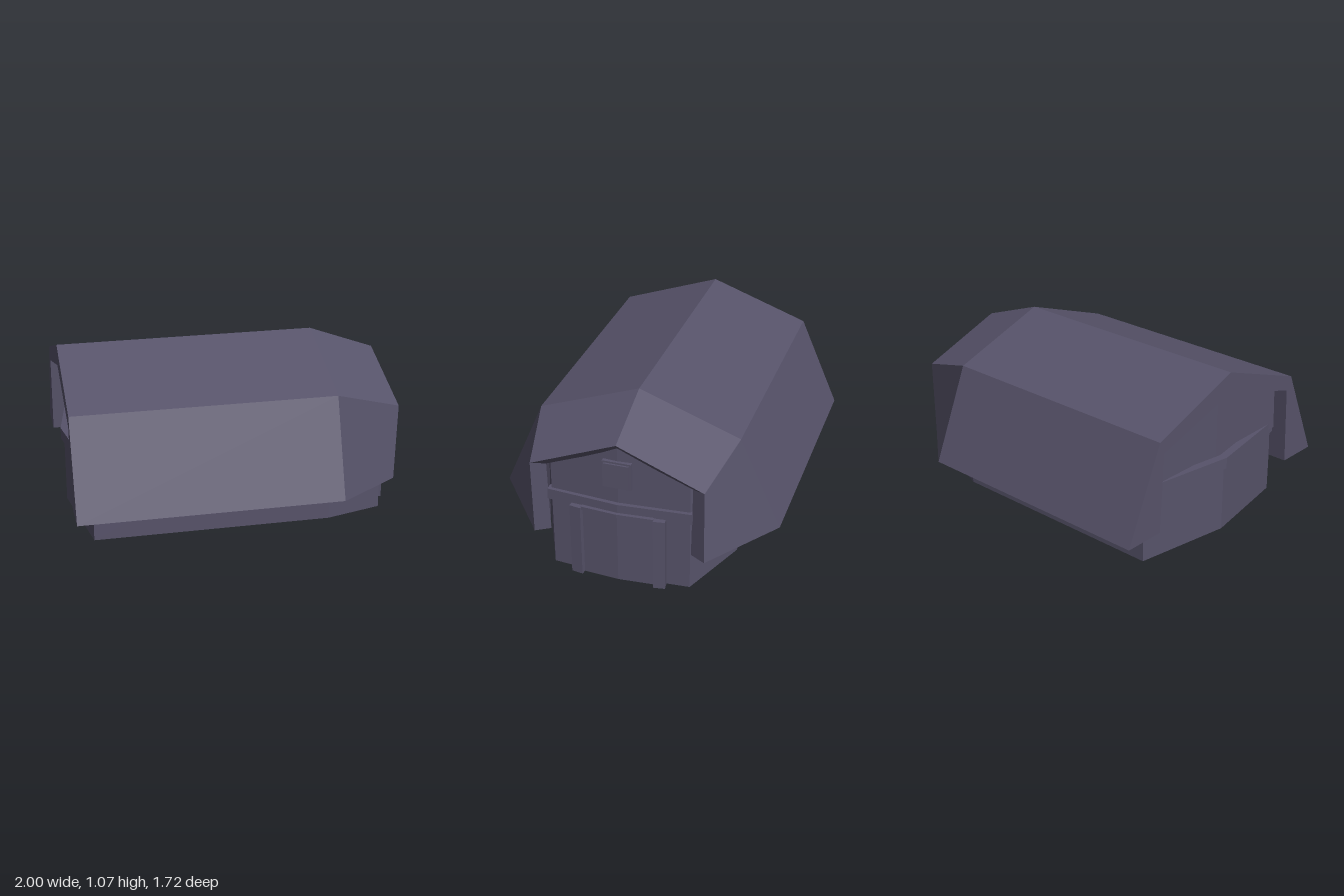
import * as THREE from 'three';

const material = new THREE.MeshStandardMaterial({ color: 0x57536a, side: THREE.DoubleSide });

function addMesh(parent, name, geometry, x = 0, y = 0, z = 0) {
  const mesh = new THREE.Mesh(geometry, material);
  mesh.name = name;
  mesh.position.set(x, y, z);
  parent.add(mesh);
  return mesh;
}

// Quads of four [x, y, z] corners, each shaded as one even face
function quadGeometry(quads) {
  const pos = [], normals = [];
  for (const quad of quads) {
    const [a, b, c, d] = quad.map((p) => new THREE.Vector3(...p));
    const n = c.clone().sub(a).cross(d.clone().sub(b)).normalize();
    for (const p of [a, b, c, a, c, d]) {
      pos.push(p.x, p.y, p.z);
      normals.push(n.x, n.y, n.z);
    }
  }
  const g = new THREE.BufferGeometry();
  g.setAttribute('position', new THREE.Float32BufferAttribute(pos, 3));
  g.setAttribute('normal', new THREE.Float32BufferAttribute(normals, 3));
  return g;
}

// Full ring of a roof section from its half: eave, knee, ridge, then inner ridge, knee, eave
function roofRing(half) {
  const flip = ([x, y, z]) => [x, y, -z];
  const [e, k, r, ir, ik, ie] = half;
  return [e, k, r, flip(k), flip(e), flip(ie), flip(ik), ir, ik, ie];
}

function roofGeometry() {
  const section = (x, kneeX) => [
    [x, 0.285, 0.86], [kneeX, 0.85, 0.613], [x, 1.07, 0],
    [x, 0.94, 0], [x, 0.77, 0.575], [x, 0.285, 0.6],
  ];
  const rings = [
    roofRing(section(-1, -1)),
    roofRing(section(0.57, 0.58)),
    roofRing([
      [0.98, 0.24, 0.52], [0.99, 0.718, 0.52], [0.975, 0.922, 0],
      [0.94, 0.875, 0], [0.94, 0.7, 0.44], [0.94, 0.25, 0.43],
    ]),
  ];
  const quads = [];
  const n = 10;
  for (let s = 0; s < 2; s++) {
    for (let i = 0; i < n; i++) {
      const j = (i + 1) % n;
      quads.push([rings[s][i], rings[s + 1][i], rings[s + 1][j], rings[s][j]]);
    }
  }
  // End faces between the outer and inner outlines
  const [b, , f] = rings;
  for (let i = 0; i < 4; i++) {
    quads.push([b[i], b[i + 1], b[8 - i], b[9 - i]]);
    quads.push([f[i], f[9 - i], f[8 - i], f[i + 1]]);
  }
  return quadGeometry(quads);
}

// Open-bottomed wall shell; each panel runs between two plan points and is mirrored
function wallGeometry() {
  // x, z, bottom, top at either end
  const panels = [
    [[-0.98, 0, 0.05, 0.5], [-0.88, 0.6, 0.05, 0.5]],
    [[-0.92, 0, 0.49, 0.96], [-0.91, 0.6, 0.49, 0.78]],
    [[-0.88, 0.6, 0.05, 0.765], [0.55, 0.6, 0.05, 0.765]],
    [[0.55, 0.6, 0.05, 0.765], [0.925, 0.42, 0.005, 0.725]],
    [[0.925, 0.42, 0.005, 0.725], [0.955, 0, 0.005, 0.9]],
  ];
  const quads = [];
  for (const [[x0, z0, b0, t0], [x1, z1, b1, t1]] of panels) {
    quads.push([[x0, b0, z0], [x1, b1, z1], [x1, t1, z1], [x0, t0, z0]]);
    quads.push([[x1, b1, -z1], [x0, b0, -z0], [x0, t0, -z0], [x1, t1, -z1]]);
  }
  return quadGeometry(quads);
}

// Horizontal rail following a shallow V in plan
function railGeometry(xEnd, xMid, halfWidth, depth, y, height) {
  const shape = new THREE.Shape([
    [xEnd, -halfWidth], [xMid, 0], [xEnd, halfWidth],
    [xEnd + depth, halfWidth], [xMid + depth, 0], [xEnd + depth, -halfWidth],
  ].map(([x, z]) => new THREE.Vector2(x, z)));
  const g = new THREE.ExtrudeGeometry(shape, { depth: height, bevelEnabled: false });
  g.rotateX(-Math.PI / 2);
  g.translate(0, y, 0);
  return g;
}

export function createModel() {
  const barn = new THREE.Group();
  barn.name = 'barn';

  addMesh(barn, 'roof', roofGeometry());
  addMesh(barn, 'walls', wallGeometry());
  addMesh(barn, 'backRail', railGeometry(-0.9, -1, 0.6, 0.05, 0.46, 0.07));
  addMesh(barn, 'entranceRail', railGeometry(0.945, 0.98, 0.44, -0.05, 0.463, 0.068));

  // Double door between two posts under a header, all following the shallow V of the wall
  const entrance = new THREE.Group();
  entrance.name = 'entrance';
  barn.add(entrance);
  for (const side of [-1, 1]) {
    const post = addMesh(entrance, 'doorPost', new THREE.BoxGeometry(0.06, 0.468, 0.07), 0.962, 0.239, side * 0.25);
    post.rotation.y = -side * 0.15;
    const door = addMesh(entrance, 'doorPanel', new THREE.BoxGeometry(0.04, 0.445, 0.218), 0.955, 0.2285, side * 0.108);
    door.rotation.y = -side * 0.07;
  }
  addMesh(entrance, 'doorHeader', railGeometry(0.985, 1, 0.22, -0.05, 0.455, 0.022));

  // Loft hatch in the gable
  const hatch = new THREE.Group();
  hatch.name = 'loftHatch';
  barn.add(hatch);
  addMesh(hatch, 'hatchFrame', new THREE.BoxGeometry(0.04, 0.172, 0.172), 0.952, 0.724, 0);
  addMesh(hatch, 'hatchPanel', new THREE.BoxGeometry(0.02, 0.15, 0.15), 0.973, 0.724, 0);

  return barn;
}
